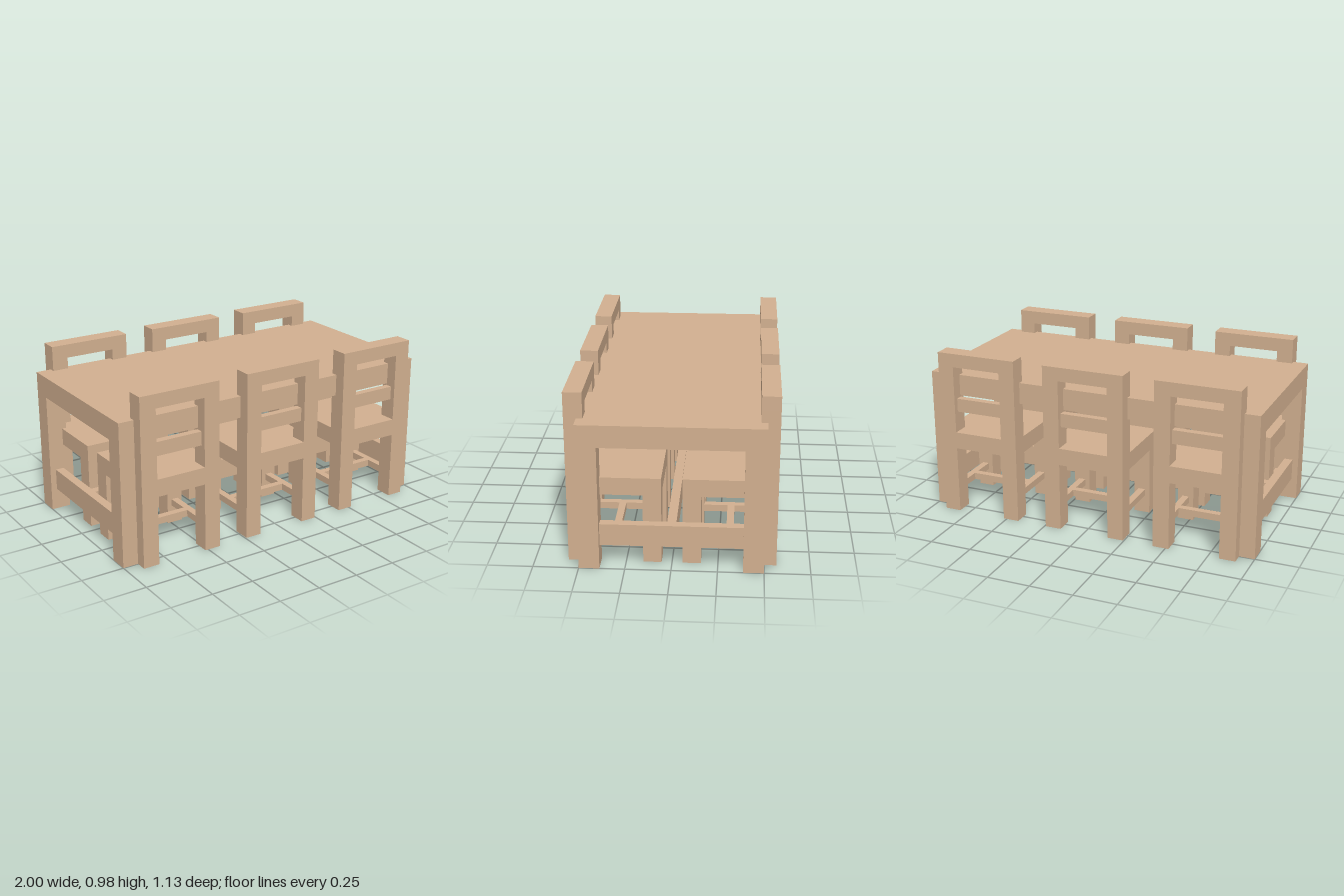
import * as THREE from 'three';

const wood = new THREE.MeshStandardMaterial({ color: 0xd2b090 });

// Box given by its min/max extents on each axis
function block(parent, name, [x0, x1], [y0, y1], [z0, z1]) {
  const mesh = new THREE.Mesh(new THREE.BoxGeometry(x1 - x0, y1 - y0, z1 - z0), wood);
  mesh.name = name;
  mesh.position.set((x0 + x1) / 2, (y0 + y1) / 2, (z0 + z1) / 2);
  parent.add(mesh);
}

// Mirrored extent: [a, b] on the positive side, [-b, -a] on the negative
const side = (s, a, b) => (s > 0 ? [a, b] : [-b, -a]);

function createTable() {
  const table = new THREE.Group();
  table.name = 'table';
  block(table, 'tableTop', [-1, 1], [0.71, 0.835], [-0.5, 0.5]);
  for (const sx of [-1, 1]) {
    for (const sz of [-1, 1]) {
      block(table, 'tableLeg', side(sx, 0.885, 1), [0, 0.71], side(sz, 0.387, 0.5));
    }
    block(table, 'endStretcher', side(sx, 0.915, 0.965), [0.125, 0.25], [-0.387, 0.387]);
  }
  block(table, 'centreStretcher', [-0.915, 0.915], [0.125, 0.25], [-0.025, 0.025]);
  return table;
}

// Chair with its back towards +z
function createChair() {
  const chair = new THREE.Group();
  chair.name = 'chair';
  const inner = 0.148, outer = 0.243;
  const front = [0.057, 0.157], back = [0.465, 0.567];

  block(chair, 'seat', [-outer, outer], [0.4, 0.5], [front[0], back[1]]);
  for (const s of [-1, 1]) {
    block(chair, 'frontLeg', side(s, inner, outer), [0, 0.4], front);
    block(chair, 'backLeg', side(s, inner, outer), [0, 0.4], back);
    block(chair, 'backPost', side(s, inner, outer), [0.5, 0.9], back);
    block(chair, 'sideStretcher', side(s, 0.175, 0.215), [0.107, 0.147], [front[1], back[0]]);
  }
  block(chair, 'crossStretcher', [-0.175, 0.175], [0.107, 0.147], [0.291, 0.331]);
  block(chair, 'topRail', [-outer, outer], [0.9, 0.98], back);
  block(chair, 'middleRail', [-inner, inner], [0.62, 0.7], [0.495, 0.537]);
  return chair;
}

export function createModel() {
  const model = new THREE.Group();
  model.name = 'diningSet';
  model.add(createTable());

  // Three chairs along each long side, facing the table
  for (const x of [-0.667, 0, 0.667]) {
    for (const turn of [0, Math.PI]) {
      const chair = createChair();
      chair.position.x = x;
      chair.rotation.y = turn;
      model.add(chair);
    }
  }
  return model;
}
